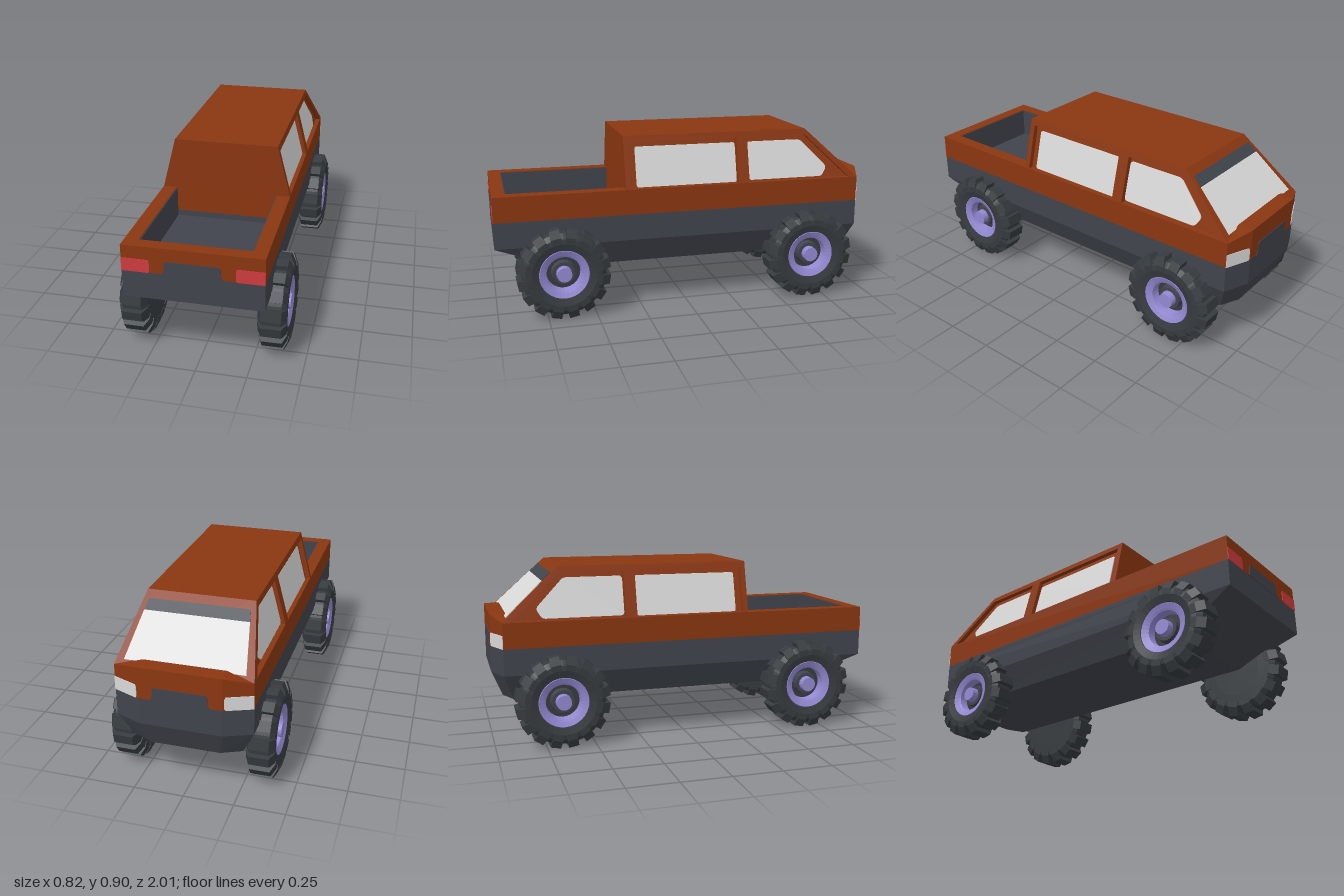
import * as THREE from 'three';
import { ConvexGeometry } from 'three/addons/geometries/ConvexGeometry.js';

const mat = (name, color) => {
  const m = new THREE.MeshStandardMaterial({ color });
  m.name = name;
  return m;
};
const V = (x, y, z) => new THREE.Vector3(x, y, z);
const shapeOf = (pts) => new THREE.Shape(pts.map(([x, y]) => new THREE.Vector2(x, y)));

// Polygon with softened corners
function roundedShape(pts, r) {
  const s = new THREE.Shape();
  const n = pts.length;
  pts.forEach((p, i) => {
    const c = new THREE.Vector2(...p);
    const toward = (q) => c.clone().add(new THREE.Vector2(...q).sub(c).setLength(r));
    const a = toward(pts[(i + n - 1) % n]);
    const b = toward(pts[(i + 1) % n]);
    if (i === 0) s.moveTo(a.x, a.y);
    else s.lineTo(a.x, a.y);
    s.quadraticCurveTo(c.x, c.y, b.x, b.y);
  });
  s.closePath();
  return s;
}

const extrude = (shape, depth) =>
  new THREE.ExtrudeGeometry(shape, { depth, bevelEnabled: false, curveSegments: 4 });

// Facets a smooth geometry
function facet(g) {
  const f = g.index ? g.toNonIndexed() : g;
  f.computeVertexNormals();
  return f;
}

// Both mirror images of a list of points
const mirrored = (pts) => pts.flatMap(([x, y, z]) => [V(x, y, z), V(-x, y, z)]);

const W = 0.333; // half width of the body
const BELT = 0.64, ROOF = 0.905;
const cabinHalf = (y) => W - (y - BELT) * (0.068 / (ROOF - BELT));

// Side panel drawn in (z, y), leaned to follow the cabin side
function sidePanel(shape, inset, depth, side) {
  const g = extrude(shape, depth);
  const p = g.attributes.position;
  for (let i = 0; i < p.count; i++) {
    const z = p.getX(i), y = p.getY(i), d = p.getZ(i);
    p.setXYZ(i, side * (cabinHalf(y) - inset - d), y, z);
  }
  if (side < 0) {
    const a = V(), b = V();
    for (let i = 0; i < p.count; i += 3) {
      a.fromBufferAttribute(p, i + 1);
      b.fromBufferAttribute(p, i + 2);
      p.setXYZ(i + 1, b.x, b.y, b.z);
      p.setXYZ(i + 2, a.x, a.y, a.z);
    }
  }
  g.computeVertexNormals();
  return g;
}

// Horizontal ring of bodywork around the open bed
function bodyBand(bottom, top) {
  const s = shapeOf([[-W, 1], [-W, -0.947], [-0.2, -1], [0.2, -1], [W, -0.947], [W, 1]]);
  s.holes.push(shapeOf([[-0.265, 0.333], [0.265, 0.333], [0.265, 0.935], [-0.265, 0.935]]));
  return extrude(s, top - bottom).rotateX(Math.PI / 2).translate(0, top, 0);
}

// Thin plate lying on the windscreen plane, from (x, z) points
function screenPlate(pts) {
  const out = [];
  for (const [x, z] of pts) {
    const y = ROOF - (-0.66 - z) * (0.265 / 0.287);
    for (const k of [-0.002, 0.004]) out.push([x, y + 0.735 * k, z - 0.679 * k]);
  }
  return new ConvexGeometry(mirrored(out));
}

export function createModel() {
  const rust = mat('rust paint', 0x8a3610);
  const grey = mat('dark grey trim', 0x40444c);
  const rubber = mat('tyre rubber', 0x363b3f);
  const glass = mat('pale glass', 0xd8d8d8);
  const red = mat('tail light red', 0xcf3b3c);
  const lilac = mat('lilac rim', 0x9289d2);

  const model = new THREE.Group();
  model.name = 'pickupTruck';
  const add = (name, geometry, material, parent = model) => {
    const m = new THREE.Mesh(geometry, material);
    m.name = name;
    parent.add(m);
    return m;
  };

  // Lower hull; its flat top is the bed floor
  const plan = (y) => [[W, y, 1], [W, y, -0.947], [0.2, y, -1]];
  add('lowerHull', new ConvexGeometry(mirrored([
    [0.27, 0.243, 0.68], [0.27, 0.243, -0.9], [0.17, 0.243, -0.945],
    ...plan(0.375), ...plan(0.48),
  ])), grey);
  add('lowerBand', bodyBand(0.48, 0.51), grey);
  add('upperBand', bodyBand(0.51, BELT), rust);

  // Bed lining
  const lining = (name, w, d, x, z) =>
    add(name, new THREE.BoxGeometry(w, 0.157, d).translate(x, 0.5585, z), grey);
  for (const s of [-1, 1]) lining('bedSideLining', 0.006, 0.602, s * 0.263, 0.634);
  lining('bedTailLining', 0.53, 0.006, 0, 0.933);

  // Bonnet
  add('bonnet', new ConvexGeometry(mirrored([
    [0.2, 0.63, -1], [0.2, 0.67, -1], [W, BELT, -0.947], [0.2, 0.67, -0.914], [0.2, 0.63, -0.9],
  ])), rust);

  // Cabin core, set in behind the side frames
  const inset = 0.026;
  const low = W - inset, high = cabinHalf(ROOF) - inset;
  add('cabinCore', new ConvexGeometry(mirrored([
    [low, BELT, 0.333], [high, ROOF, 0.333], [high, ROOF, -0.66], [low, BELT, -0.947],
  ])), rust);

  // Side frames and windows
  for (const s of [-1, 1]) {
    const frame = shapeOf([[0.333, BELT], [0.333, ROOF], [-0.66, ROOF], [-0.947, BELT]]);
    frame.holes.push(shapeOf([[0.305, 0.642], [-0.27, 0.642], [-0.27, 0.875], [0.305, 0.875]]));
    frame.holes.push(shapeOf([[-0.33, 0.642], [-0.9, 0.642], [-0.655, 0.875], [-0.33, 0.875]]));
    add('sideFrame', sidePanel(frame, 0, 0.03, s), rust);
    const rear = roundedShape([[-0.266, 0.645], [0.272, 0.645], [0.272, 0.847], [-0.266, 0.847]], 0.012);
    const front = roundedShape(
      [[-0.75, 0.65], [-0.333, 0.65], [-0.333, 0.847], [-0.635, 0.847], [-0.78, 0.7]], 0.018);
    add('rearSideWindow', sidePanel(rear, 0.021, 0.006, s), glass);
    add('frontSideWindow', sidePanel(front, 0.021, 0.006, s), glass);
  }

  // Windscreen with a dark band along the top
  add('windscreen', screenPlate([[0.256, -0.74], [0.29, -0.926], [0.2, -0.912]]), glass);
  add('screenBand', screenPlate([[0.248, -0.695], [0.256, -0.74]]), grey);

  // Raised grey panels at both ends
  const panel = shapeOf([[-0.15, 0.508], [0.15, 0.508], [0.137, 0.514], [0.132, 0.53], [0.131, 0.568],
    [0.124, 0.575], [-0.124, 0.575], [-0.131, 0.568], [-0.132, 0.53], [-0.137, 0.514]]);
  add('tailPanel', extrude(panel, 0.005).translate(0, 0, 0.998), grey);
  add('nosePanel', extrude(panel, 0.005).translate(0, 0, -1.003), grey);

  for (const s of [-1, 1]) {
    // Tail lights
    const tail = shapeOf([[W, 0.51], [W, 0.575], [0.207, 0.575], [0.2, 0.566], [0.2, 0.516], [0.207, 0.51]]
      .map(([x, y]) => [s * x, y]));
    add('tailLight', extrude(tail, 0.005).translate(0, 0, 0.998), red);
    // Headlights on the angled nose corners
    const pts = [];
    for (const [t, y] of [[0.06, 0.52], [0.1, 0.51], [1, 0.51], [1, 0.578], [0.1, 0.578], [0.06, 0.565]])
      for (const k of [-0.002, 0.003])
        pts.push(V(s * (0.2 + 0.133 * t + 0.37 * k), y, -1 + 0.053 * t - 0.93 * k));
    add('headlight', new ConvexGeometry(pts), glass);
  }

  // Wheels, built around the y axis with the outer side up
  const lathe = (pts, n) =>
    facet(new THREE.LatheGeometry(pts.map(([r, h]) => new THREE.Vector2(r, h)), n));
  const tyreGeo = lathe([[0.001, -0.068], [0.13, -0.068], [0.19, -0.066], [0.215, -0.045], [0.215, 0.045],
    [0.19, 0.066], [0.165, 0.07], [0.128, 0.06], [0.128, 0], [0.001, 0]], 32);
  const rimGeo = lathe([[0.129, 0.05], [0.125, 0.06], [0.1, 0.05], [0.09, 0.045], [0.086, 0.001]], 32);
  const lugGeo = extrude(shapeOf([[0.165, -0.07], [0.195, -0.07], [0.237, -0.05],
    [0.237, 0.05], [0.195, 0.07], [0.165, 0.07]]), 0.052).translate(0, 0, -0.026);
  const hubBaseGeo = facet(new THREE.CylinderGeometry(0.058, 0.064, 0.03, 16).translate(0, 0.015, 0));
  const hubGeo = facet(new THREE.CylinderGeometry(0.038, 0.042, 0.065, 16).translate(0, 0.0325, 0));
  for (const s of [-1, 1]) {
    for (const z of [0.665, -0.665]) {
      const wheel = new THREE.Group();
      wheel.name = z > 0 ? 'tailWheel' : 'noseWheel';
      wheel.position.set(s * 0.34, 0.238, z);
      wheel.rotation.z = -s * Math.PI / 2;
      add('tyre', tyreGeo, rubber, wheel);
      add('rim', rimGeo, lilac, wheel);
      add('hubBase', hubBaseGeo, grey, wheel);
      add('hub', hubGeo, lilac, wheel);
      for (let i = 0; i < 16; i++)
        add('treadLug', lugGeo, rubber, wheel).rotation.y = (i + 0.5) * Math.PI / 8;
      model.add(wheel);
    }
  }
  return model;
}
